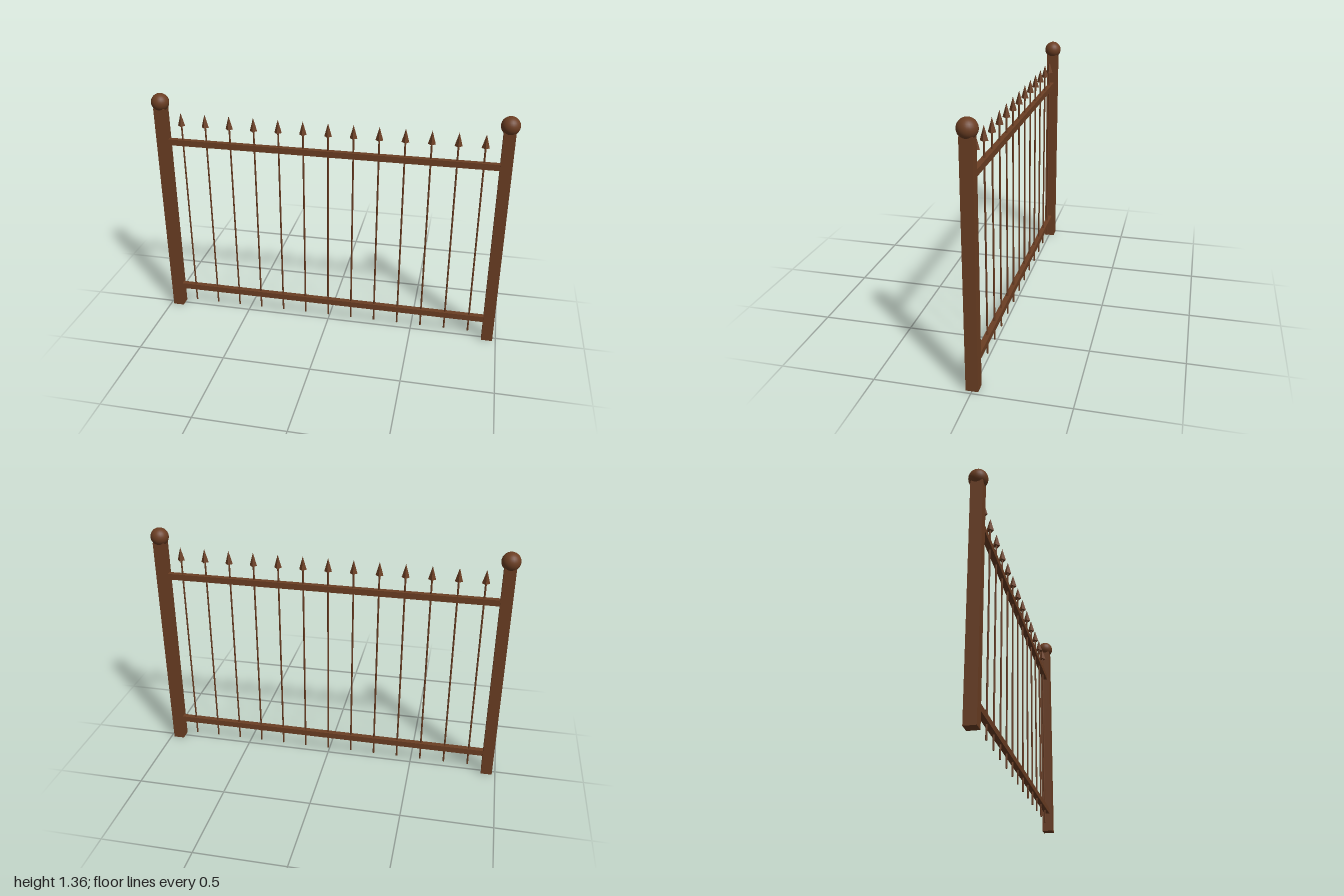
import * as THREE from 'three';

export function createModel() {
  const group = new THREE.Group();
  const brown = new THREE.MeshStandardMaterial({ color: 0x6b3e23 });
  brown.name = 'rust brown';
  const brownFlat = new THREE.MeshStandardMaterial({ color: 0x6b3e23, flatShading: true });
  brownFlat.name = 'rust brown faceted';

  const add = (name, geometry, material, x, y) => {
    const mesh = new THREE.Mesh(geometry, material);
    mesh.name = name;
    mesh.position.set(x, y, 0);
    group.add(mesh);
  };

  // End posts with ball finials
  const postGeo = new THREE.BoxGeometry(0.063, 1.28, 0.063);
  const ballGeo = new THREE.SphereGeometry(0.05, 24, 16);
  for (const [side, x] of [['left', 0.95], ['right', -0.95]]) {
    add(side + 'Post', postGeo, brown, x, 0.64);
    add(side + 'PostBall', ballGeo, brown, x, 1.31);
  }

  // Horizontal rails between the posts
  const railGeo = new THREE.BoxGeometry(1.86, 0.034, 0.03);
  add('lowerRail', railGeo, brown, 0, 0.13);
  add('upperRail', railGeo, brown, 0, 1.08);

  // Thin pickets, each with a four-sided spear point
  const count = 13, spacing = 0.1393;
  const bottom = 0.035, top = 1.18, tip = 1.255;
  const picketGeo = new THREE.CylinderGeometry(0.005, 0.005, top - bottom, 8);
  const spearGeo = new THREE.ConeGeometry(0.021, tip - top, 4);
  for (let i = 0; i < count; i++) {
    const x = (i - (count - 1) / 2) * spacing;
    add('picket' + (i + 1), picketGeo, brown, x, (bottom + top) / 2);
    add('spearPoint' + (i + 1), spearGeo, brownFlat, x, (top + tip) / 2);
  }
  return group;
}
